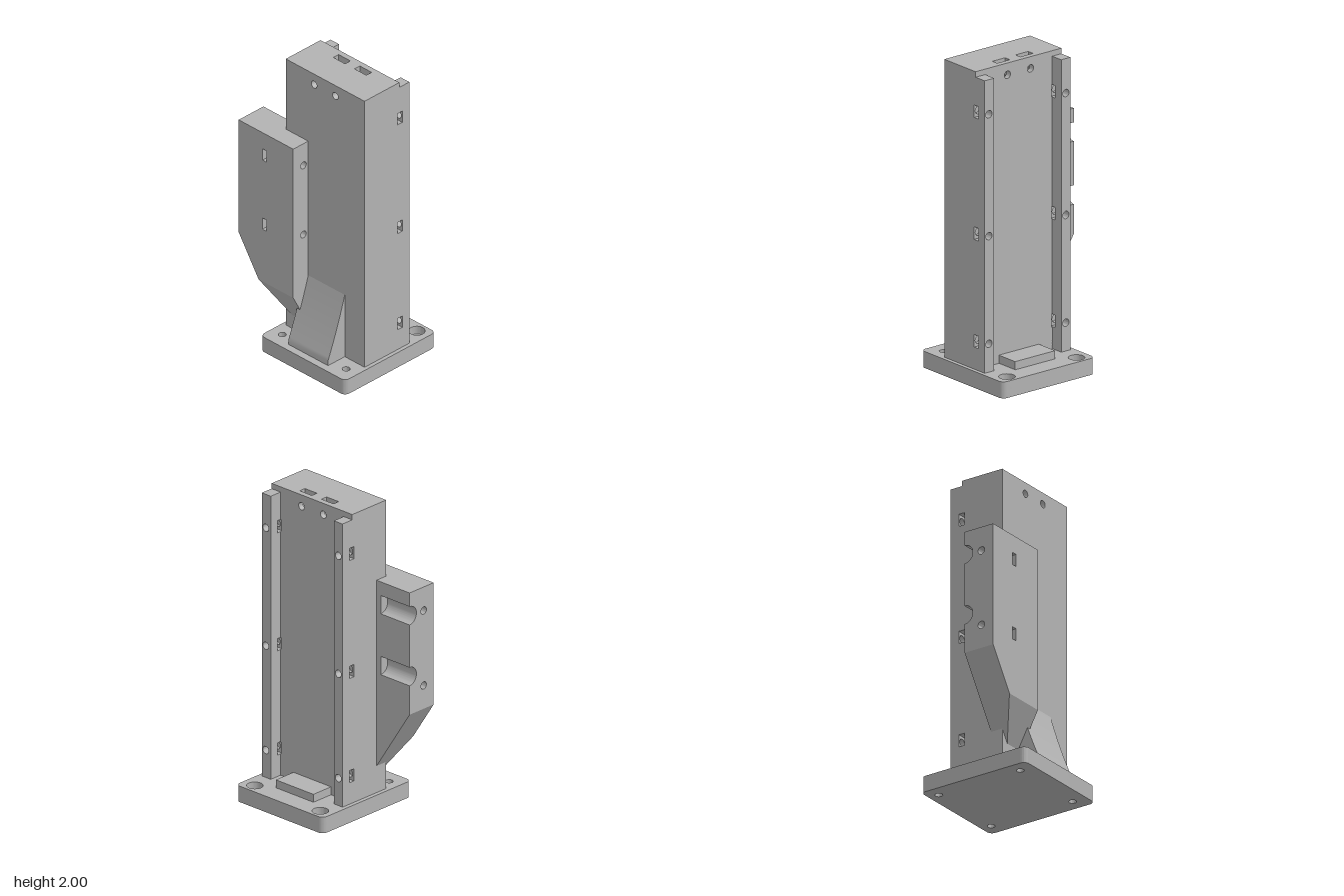
import * as THREE from 'three';
import { toCreasedNormals } from 'three/addons/utils/BufferGeometryUtils.js';
import { ConvexGeometry } from 'three/addons/geometries/ConvexGeometry.js';

const grey = new THREE.MeshStandardMaterial({ color: 0xb2b2b2 });
grey.name = 'machined grey';

// Closed shape from corner points, with optional round holes [x, y, radius]
function polygon(points, holes = []) {
  const shape = new THREE.Shape(points.map(([x, y]) => new THREE.Vector2(x, y)));
  return drill(shape, holes);
}

function drill(shape, holes) {
  for (const [x, y, r] of holes) {
    shape.holes.push(new THREE.Path().absarc(x, y, r, 0, Math.PI * 2, true));
  }
  return shape;
}

const rect = (x0, x1, y0, y1) => [[x0, y0], [x1, y0], [x1, y1], [x0, y1]];

// Extrudes a shape from a to b along the chosen axis.
// Along x the shape is drawn in (-z, y); along y in (x, -z); along z in (x, y).
function slab(shape, axis, a, b) {
  let geo = new THREE.ExtrudeGeometry(shape, { depth: b - a, bevelEnabled: false, curveSegments: 20 });
  geo.translate(0, 0, a);
  if (axis === 'x') geo.rotateY(Math.PI / 2);
  if (axis === 'y') geo.rotateX(-Math.PI / 2);
  return toCreasedNormals(geo, 0.6);
}

function roundedRect(x0, x1, y0, y1, r) {
  const s = new THREE.Shape();
  s.absarc(x1 - r, y1 - r, r, 0, Math.PI / 2);
  s.absarc(x0 + r, y1 - r, r, Math.PI / 2, Math.PI);
  s.absarc(x0 + r, y0 + r, r, Math.PI, Math.PI * 1.5);
  s.absarc(x1 - r, y0 + r, r, Math.PI * 1.5, Math.PI * 2);
  s.closePath();
  return s;
}

export function createModel() {
  const model = new THREE.Group();
  model.name = 'columnMount';
  const group = (name) => {
    const g = new THREE.Group();
    g.name = name;
    model.add(g);
    return g;
  };
  const add = (parent, name, geo) => {
    const mesh = new THREE.Mesh(geo, grey);
    mesh.name = name;
    parent.add(mesh);
  };
  const box = (x0, x1, y0, y1, z0, z1) =>
    new THREE.BoxGeometry(x1 - x0, y1 - y0, z1 - z0)
      .translate((x0 + x1) / 2, (y0 + y1) / 2, (z0 + z1) / 2);

  const R = 0.024;                       // screw hole radius
  const BASE = 0.105, TOP = 2;
  const ZB = -0.21, ZF = 0.458;          // column back and front
  const screwY = [0.285, 0.97, 1.745];
  const slotH = 0.04;

  // Base plate: plain lower layer, upper layer with two counterbores
  const base = group('basePlate');
  const baseHoles = (r) => [
    [-0.285, -0.392, R], [-0.285, 0.15, R], [0.315, -0.392, r], [0.315, 0.15, r],
  ];
  const outline = () => roundedRect(-0.385, 0.385, -0.483, 0.237, 0.036);
  add(base, 'lowerPlate', slab(drill(outline(), baseHoles(R)), 'y', 0, 0.05));
  add(base, 'upperPlate', slab(drill(outline(), baseHoles(0.05)), 'y', 0.05, BASE));

  // Locating pad in the channel
  add(model, 'locatingPad', box(0.1, 0.253, BASE, 0.157, -0.034, 0.277));

  // Column, layered along x; cross holes near the top
  const column = group('column');
  const crossHoles = [[-0.21, 1.925, R], [-0.03, 1.925, R]];
  const screws = screwY.flatMap((y) => [[-0.425, y, R], [0.175, y, R]]);
  const face = rect(-ZF, -ZB, BASE, TOP);
  add(column, 'columnWall', slab(polygon(face, crossHoles), 'x', -0.195, 0.018));

  // Nut pockets open at the top
  const pocketY = 1.87;
  add(column, 'topPocketLayer', slab(polygon([
    [-ZF, BASE], [-ZB, BASE], [-ZB, TOP],
    [0.02, TOP], [0.02, pocketY], [-0.08, pocketY], [-0.08, TOP],
    [-0.16, TOP], [-0.16, pocketY], [-0.26, pocketY], [-0.26, TOP],
    [-ZF, TOP],
  ]), 'x', 0.018, 0.063));
  add(column, 'screwLayer', slab(polygon(face, [...crossHoles, ...screws]), 'x', 0.063, 0.085));

  // Channel floor with side slots cut in from both edges
  const notched = [[-ZF, BASE], [-ZB, BASE]];
  for (const y of screwY) {
    notched.push([-ZB, y - slotH], [0.132, y - slotH], [0.132, y + slotH], [-ZB, y + slotH]);
  }
  notched.push([-ZB, TOP], [-ZF, TOP]);
  for (const y of [...screwY].reverse()) {
    notched.push([-ZF, y + slotH], [-0.378, y + slotH], [-0.378, y - slotH], [-ZF, y - slotH]);
  }
  add(column, 'channelFloor', slab(polygon(notched, crossHoles), 'x', 0.085, 0.1));

  // Two rails: slotted inner layer, drilled outer layer
  const RAIL_TOP = 1.965;
  for (const [name, z0, z1, zc] of [['frontRail', 0.384, ZF, 0.425], ['backRail', ZB, -0.139, -0.175]]) {
    const rail = group(name);
    const edges = [BASE, ...screwY.flatMap((y) => [y - slotH, y + slotH]), RAIL_TOP];
    for (let i = 0; i < edges.length; i += 2) {
      add(rail, 'railWeb', box(0.1, 0.125, edges[i], edges[i + 1], z0, z1));
    }
    const holes = screwY.map((y) => [-zc, y, R]);
    add(rail, 'railFace', slab(polygon(rect(-z1, -z0, BASE, RAIL_TOP), holes), 'x', 0.125, 0.185));
  }

  // Side bracket, layered along z with through bores
  const bracket = group('sideBracket');
  const X0 = -0.322, X1 = -0.112, XC = -0.195, Y0 = 0.7, Y1 = 1.5, BACK = -0.483;
  const boreY = [0.853, 1.345];
  const bores = boreY.map((y) => [-0.235, y, R]);
  const grooved = (pockets) => {
    const s = new THREE.Shape();
    s.moveTo(X0, Y0);
    s.lineTo(X1, Y0);
    for (const y of [0.95, 1.35]) {      // half-round grooves
      s.lineTo(X1, y - 0.06);
      s.absarc(X1, y, 0.06, -Math.PI / 2, Math.PI / 2, true);
    }
    s.lineTo(X1, Y1);
    s.lineTo(X0, Y1);
    if (pockets) {
      for (const y of [...boreY].reverse()) {
        s.lineTo(X0, y + slotH);
        s.lineTo(-0.2, y + slotH);
        s.lineTo(-0.2, y - slotH);
        s.lineTo(X0, y - slotH);
      }
    }
    s.closePath();
    return pockets ? s : drill(s, bores);
  };
  add(bracket, 'groovedBlock', slab(grooved(false), 'z', BACK, -0.28));
  add(bracket, 'nutPocketLayer', slab(grooved(true), 'z', -0.28, -0.245));
  add(bracket, 'innerBlock', slab(polygon(rect(X0, X1, Y0, Y1), bores), 'z', -0.245, ZB));
  add(bracket, 'sideBlock', slab(polygon(rect(X0, XC, Y0, Y1), bores), 'z', ZB, -0.02));

  // Tapered underside of the bracket
  const hull = (pts) => new ConvexGeometry(pts.map((p) => new THREE.Vector3(...p)));
  add(bracket, 'rearTaper', hull([
    [X0, Y0, BACK], [X1, Y0, BACK], [X0, Y0, ZB], [X1, Y0, ZB],
    [X1, 0.28, ZB], [-0.237, 0.28, ZB], [X0, 0.44, ZB], [X0, 0.44, -0.314],
  ]));
  add(bracket, 'sideTaper', hull([
    [X0, Y0, ZB], [XC, Y0, ZB], [X0, Y0, -0.02], [XC, Y0, -0.02],
    [X0, 0.44, ZB], [X0, 0.44, -0.02], [-0.237, 0.28, ZB], [XC, 0.28, ZB],
    [XC, 0.2, -0.158], [XC, 0.2, -0.02],
  ]));

  // Gusset with a slightly hollow slope
  const gusset = new THREE.Shape();
  gusset.moveTo(-0.337, BASE);
  gusset.lineTo(XC, BASE);
  gusset.lineTo(XC, 0.545);
  gusset.quadraticCurveTo(-0.256, 0.335, -0.337, 0.14);
  gusset.closePath();
  add(model, 'gusset', slab(gusset, 'z', -0.046, 0.29));

  return model;
}
